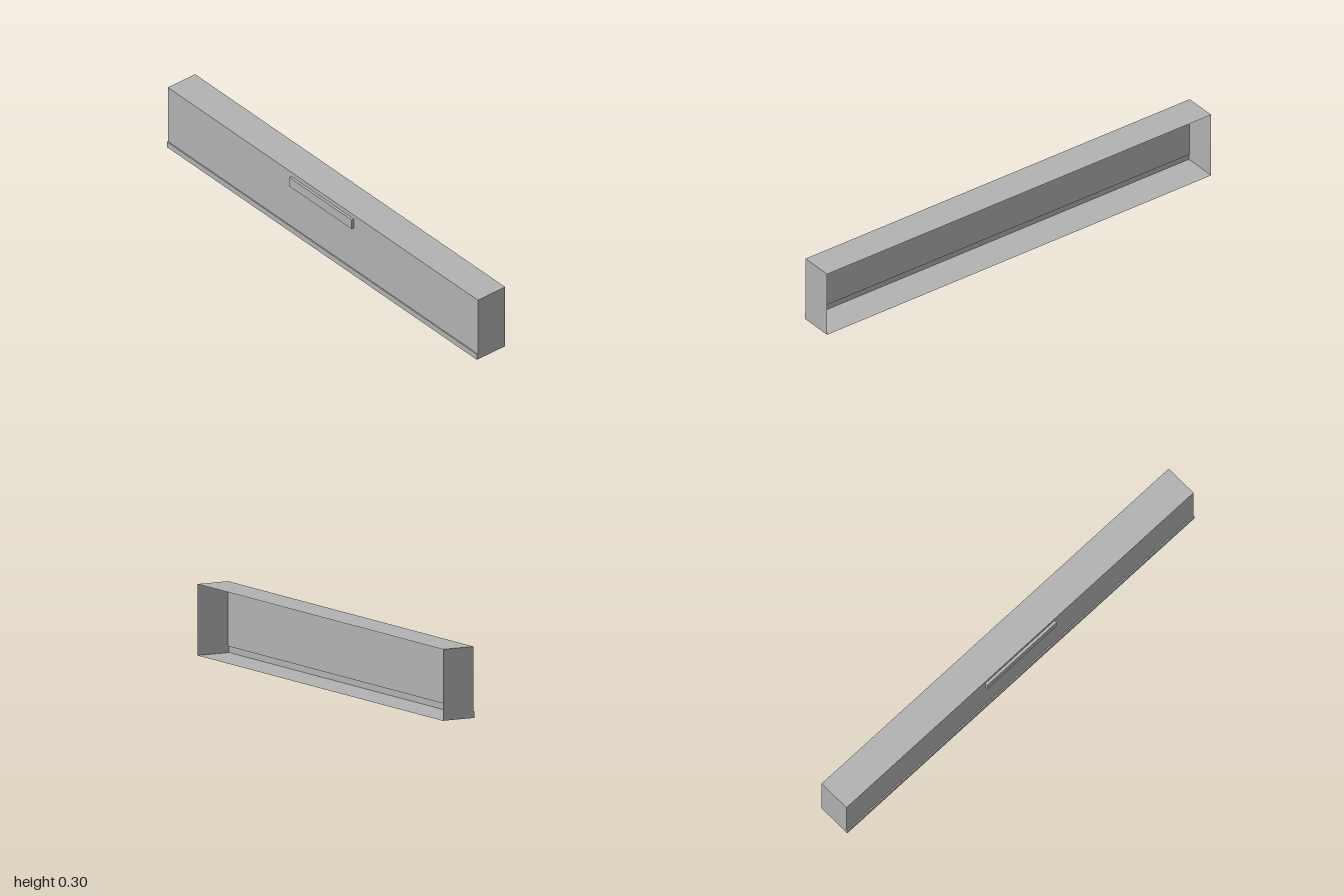
import * as THREE from 'three';

// Side profile as [z, y], from the open back over the top, down the front, to the back again
const PROFILE = [[-0.08, 0.3], [0.068, 0.3], [0.068, 0.027], [0.073, 0.027], [0.073, 0], [-0.08, 0]];
const PANELS = ['topPanel', 'frontPanel', 'lipTop', 'lipFront', 'bottomPanel'];

// Flat panel spanning the full width between two profile points
function panelGeometry([z0, y0], [z1, y1]) {
  const geometry = new THREE.BufferGeometry();
  geometry.setAttribute('position', new THREE.Float32BufferAttribute(
    [-1, y0, z0, -1, y1, z1, 1, y1, z1, 1, y0, z0], 3));
  geometry.setIndex([0, 1, 2, 0, 2, 3]);
  geometry.computeVertexNormals();
  return geometry;
}

// End wall in the profile's outline, facing outwards on the given side
function endGeometry(side) {
  const shape = new THREE.Shape(PROFILE.map(([z, y]) => new THREE.Vector2(-side * z, y)));
  return new THREE.ShapeGeometry(shape).rotateY(side * Math.PI / 2).translate(side, 0, 0);
}

export function createModel() {
  const model = new THREE.Group();
  model.name = 'drawerFront';
  const grey = new THREE.MeshStandardMaterial({ color: 0xb2b2b2, side: THREE.DoubleSide });
  grey.name = 'grey';

  const add = (name, geometry) => {
    const mesh = new THREE.Mesh(geometry, grey);
    mesh.name = name;
    model.add(mesh);
    return mesh;
  };

  // Thin shell, open at the back
  PANELS.forEach((name, i) => add(name, panelGeometry(PROFILE[i], PROFILE[i + 1])));
  add('leftEnd', endGeometry(1));
  add('rightEnd', endGeometry(-1));

  // Handle bar, without the hidden face against the front panel
  const bar = new THREE.BoxGeometry(0.4, 0.045, 0.012);
  bar.setIndex(Array.from(bar.index.array).slice(0, 30));
  bar.clearGroups();
  add('handle', bar).position.set(0, 0.2575, 0.074);

  return model;
}
